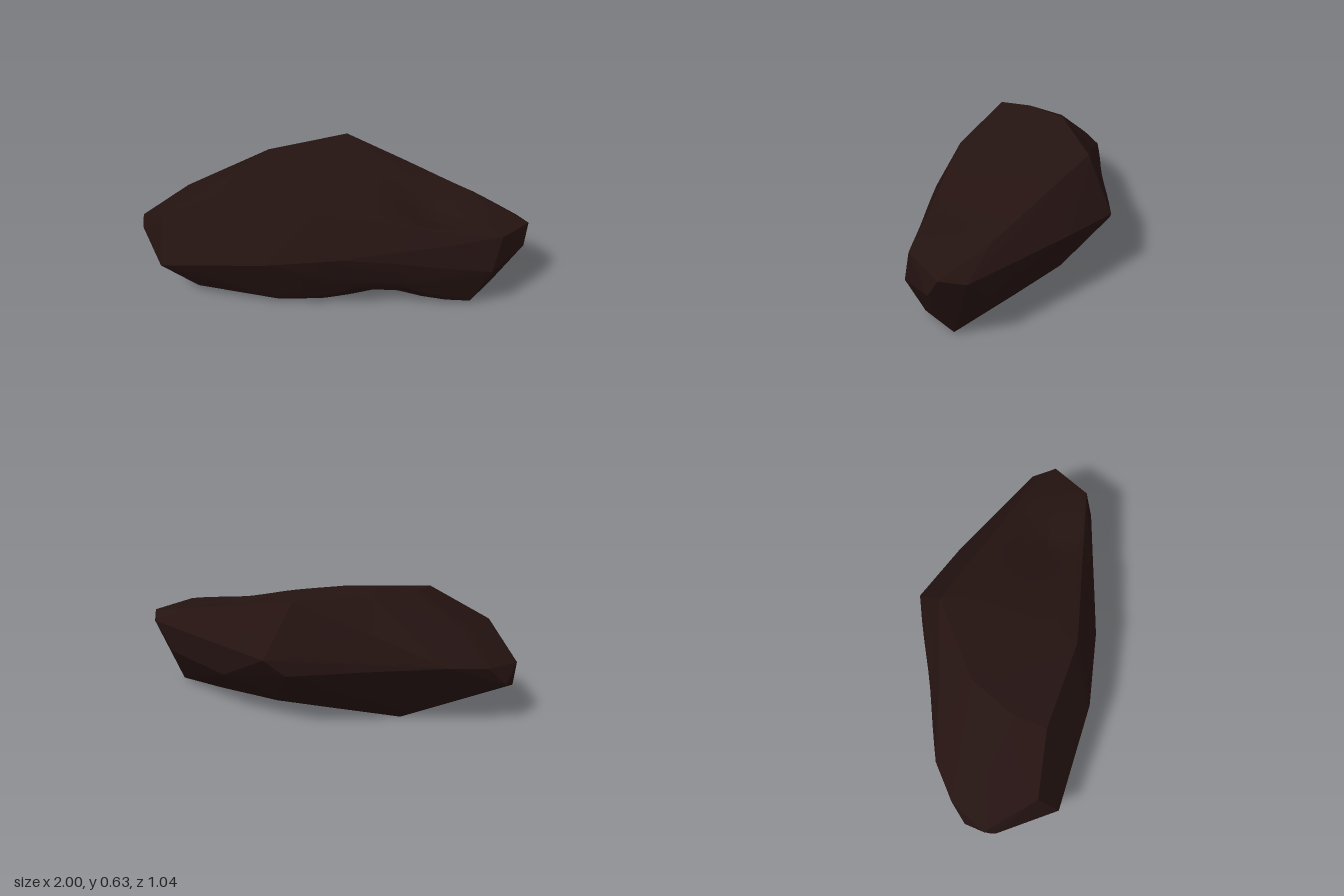
import * as THREE from 'three';
import { ConvexGeometry } from 'three/addons/geometries/ConvexGeometry.js';
import { toCreasedNormals } from 'three/addons/utils/BufferGeometryUtils.js';

// Corner points of the boulder, grouped by region
const CORNERS = {
  crown: [[-0.02, 0.62, -0.36], [-0.37, 0.63, -0.07], [-0.47, 0.615, 0.17], [-0.48, 0.6, 0.35],
    [0, 0.55, 0.36], [0.43, 0.5, 0.22], [0.89, 0.43, 0.15], [0.7, 0.47, -0.18], [1, 0.4, -0.06],
    [-0.79, 0.44, 0.41], [-0.77, 0.45, 0.1]],
  frontBelt: [[-0.77, 0.22, 0.52], [-0.22, 0.31, 0.51], [0.15, 0.35, 0.43], [0.86, 0.25, 0.2], [0.99, 0.3, 0]],
  backBelt: [[0.93, 0.37, -0.17], [0.37, 0.37, -0.41], [0.06, 0.36, -0.52], [-0.04, 0.28, -0.48],
    [0.37, 0.2, -0.38], [0.8, 0.22, -0.2], [-0.56, 0.32, -0.21], [-0.75, 0.32, -0.14]],
  leftTip: [[-1, 0.29, 0.2], [-0.98, 0.16, 0.22], [-0.98, 0.25, 0.26], [-0.98, 0.2, 0.09], [-0.91, 0.3, 0]],
  base: [[-0.48, 0, -0.06], [0.2, 0, -0.12], [0.84, 0.01, -0.04], [0.76, 0.02, 0.16], [-0.2, 0.03, 0.4],
    [-0.62, 0.05, 0.42], [0.1, 0.1, -0.33], [0.5, 0.05, -0.19], [0.35, 0.12, 0.33]],
};

// Shallow hollows: centre, radius, and push at the centre
const DENTS = [
  { at: [0.52, 0.48, 0.05], radius: 0.17, push: [0, -0.05, 0] },
  { at: [-0.36, 0.4, -0.33], radius: 0.2, push: [0, 0, 0.012] },
  { at: [0.33, 0.02, 0.27], radius: 0.2, push: [0, 0.07, 0] },
].map(d => ({ radius: d.radius, at: new THREE.Vector3(...d.at), push: new THREE.Vector3(...d.push) }));

// Split every triangle into four
function subdivide(tris) {
  return tris.flatMap(([a, b, c]) => {
    const mid = (p, q) => p.clone().add(q).multiplyScalar(0.5);
    const ab = mid(a, b), bc = mid(b, c), ca = mid(c, a);
    return [[a, ab, ca], [ab, b, bc], [ca, bc, c], [ab, bc, ca]];
  });
}

function dent(p) {
  const out = p.clone();
  for (const d of DENTS) {
    const r = p.distanceTo(d.at) / d.radius;
    out.addScaledVector(d.push, Math.exp(-r * r));
  }
  return out;
}

export function createModel() {
  const group = new THREE.Group();
  group.name = 'boulder';

  // Faceted body
  const hull = new ConvexGeometry(Object.values(CORNERS).flat().map(c => new THREE.Vector3(...c)));
  const pos = hull.attributes.position;
  let tris = [];
  for (let i = 0; i < pos.count; i += 3) {
    tris.push([0, 1, 2].map(k => new THREE.Vector3().fromBufferAttribute(pos, i + k)));
  }
  for (let i = 0; i < 3; i++) tris = subdivide(tris);

  // Hollows weathered into the faces
  const geometry = new THREE.BufferGeometry().setFromPoints(tris.flat().map(dent));
  const rock = new THREE.Mesh(toCreasedNormals(geometry, 0.3), new THREE.MeshStandardMaterial({ color: 0x241311 }));
  rock.name = 'rock';
  group.add(rock);
  return group;
}
